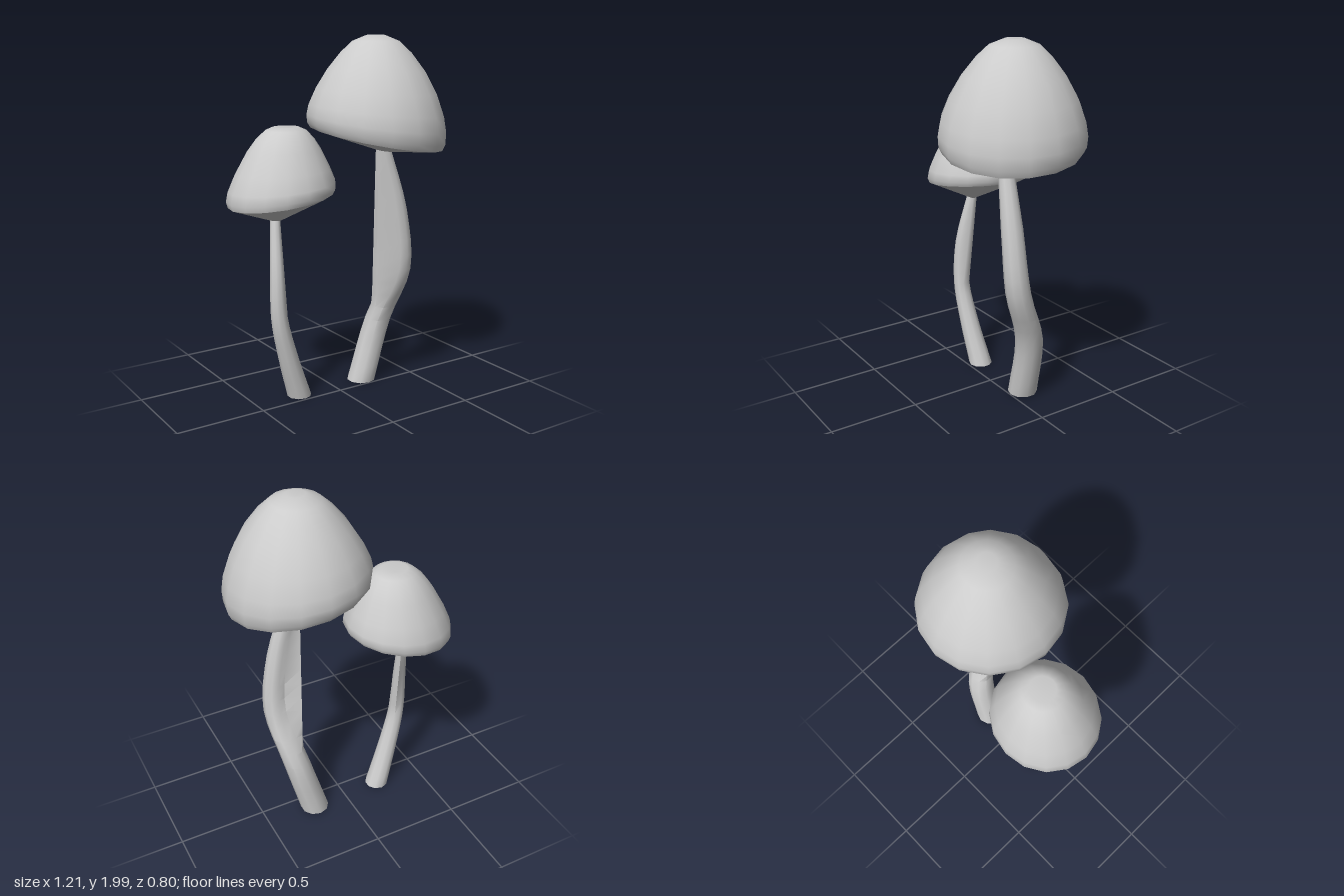
import * as THREE from 'three';
import { mergeVertices, toCreasedNormals } from 'three/addons/utils/BufferGeometryUtils.js';

const material = new THREE.MeshStandardMaterial({ color: 0xcccccc, side: THREE.DoubleSide });
const part = (name, geometry) => {
  const mesh = new THREE.Mesh(geometry, material);
  mesh.name = name;
  return mesh;
};

// Rebuild normals, keeping hard edges sharp
function crease(geometry, angle) {
  geometry.deleteAttribute('uv');
  geometry.deleteAttribute('normal');
  return toCreasedNormals(mergeVertices(geometry, 1e-4), angle);
}

// Turned cap surface: rim tilted by slope, crown moved by lean, lower tip moved toward the stem
function capSurface({ centre, slope, lean, depth, rimY, topY, radius, tip }, profile, angle) {
  const points = profile.map(([r, y]) => new THREE.Vector2(r, y));
  const geometry = new THREE.LatheGeometry(points, 16);
  const p = geometry.attributes.position;
  for (let i = 0; i < p.count; i++) {
    const x = p.getX(i), y = p.getY(i), z = p.getZ(i);
    const rise = THREE.MathUtils.clamp((y - rimY) / (topY - rimY), 0, 1);
    const shift = y < rimY ? Math.max(0, 1 - Math.hypot(x, z) / radius) : 0;
    p.setXYZ(i,
      x + centre[0] + tip[0] * shift + lean[0] * rise,
      y + (slope[0] * x + slope[1] * z) * (1 - rise) ** 2,
      z * depth + centre[1] + tip[1] * shift + lean[1] * rise);
  }
  return crease(geometry, angle);
}

// Curved stem; a flat web spans its hollow side from webLow up to the cap
function stemGeometry({ path, radii, inward, webLow }) {
  const curve = new THREE.CatmullRomCurve3(path.map((v) => new THREE.Vector3(...v)));
  const sides = 10, rows = 16;
  const radiusAt = (t) => {
    const s = t * (radii.length - 1), i = Math.min(Math.floor(s), radii.length - 2);
    return THREE.MathUtils.lerp(radii[i], radii[i + 1], s - i);
  };
  const ringPoint = (t, dx, dz) => {
    const r = radiusAt(t);
    return curve.getPoint(t).add(new THREE.Vector3(dx * r, 0, dz * r));
  };
  const facing = new THREE.Vector2(...inward).normalize();
  const geometry = new THREE.CylinderGeometry(1, 1, 1, sides, rows);
  const p = geometry.attributes.position;
  for (let i = 0; i < p.count; i++) {
    const t = p.getY(i) + 0.5, dx = p.getX(i), dz = p.getZ(i);
    const v = ringPoint(t, dx, dz);
    if (t > webLow && dx * facing.x + dz * facing.y > 0.7) {
      const low = ringPoint(webLow, dx, dz), high = ringPoint(1, dx, dz);
      v.copy(low.clone().lerp(high, (v.y - low.y) / (high.y - low.y)));
    }
    p.setXYZ(i, v.x, v.y, v.z);
  }
  return crease(geometry, 0.7);
}

function mushroom(name, cap, stem) {
  const group = new THREE.Group();
  group.name = name;
  group.add(
    part('capDome', capSurface(cap, cap.dome, 1.2)),
    part('capUnderside', capSurface(cap, cap.underside, 0.1)),
    part('stem', stemGeometry(stem)));
  return group;
}

export function createModel() {
  const model = new THREE.Group();
  model.name = 'mushroomPair';

  // Tall mushroom with the broad cap
  model.add(mushroom('tallMushroom', {
    centre: [0.223, 0.015], slope: [-0.15, -0.1], lean: [0, -0.01], depth: 1,
    rimY: 1.445, topY: 2, radius: 0.365, tip: [0.02, 0.04],
    dome: [[0.365, 1.445], [0.381, 1.475], [0.385, 1.53], [0.372, 1.6], [0.333, 1.7], [0.27, 1.81],
      [0.195, 1.905], [0.13, 1.966], [0.05, 1.998], [0, 1.985]],
    underside: [[0, 1.37], [0.365, 1.445]],
  }, {
    path: [[0.2, 0.01, -0.085], [0.297, 0.38, -0.055], [0.357, 0.7, 0.065], [0.322, 1.05, 0.083], [0.23, 1.42, 0.068]],
    radii: [0.082, 0.076, 0.068, 0.058, 0.038],
    inward: [-1, -0.05], webLow: 0.32,
  }));

  // Short mushroom with the small cap
  model.add(mushroom('shortMushroom', {
    centre: [-0.307, -0.115], slope: [0.13, 0.03], lean: [0.035, 0], depth: 0.96,
    rimY: 1.137, topY: 1.52, radius: 0.287, tip: [-0.03, 0.01],
    dome: [[0.287, 1.137], [0.299, 1.165], [0.292, 1.21], [0.258, 1.29], [0.2, 1.4], [0.158, 1.46],
      [0.112, 1.505], [0.07, 1.523], [0, 1.495]],
    underside: [[0, 1.015], [0.287, 1.137]],
  }, {
    path: [[-0.227, 0.01, -0.08], [-0.31, 0.26, -0.055], [-0.37, 0.5, -0.04], [-0.374, 0.76, -0.05], [-0.348, 1.06, -0.11]],
    radii: [0.068, 0.056, 0.046, 0.038, 0.026],
    inward: [1, -0.5], webLow: 0.5,
  }));

  return model;
}
